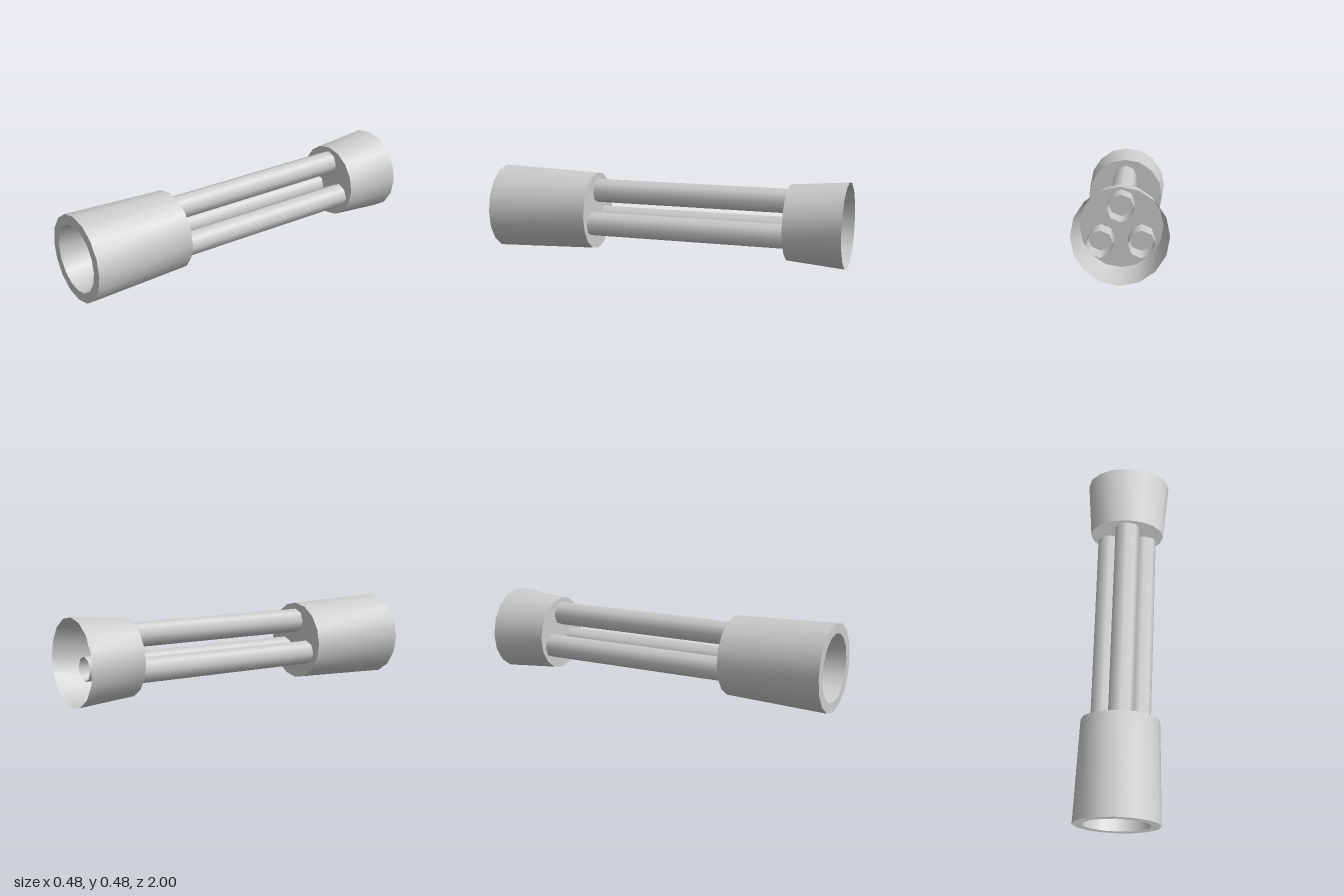
import * as THREE from 'three';
import { toCreasedNormals } from 'three/addons/utils/BufferGeometryUtils.js';

const AXIS_Y = 0.24;

// Turned part around the z axis; profile points are [radius, z]
function turned(name, profile, material) {
  const points = profile.map(([r, z]) => new THREE.Vector2(r, z));
  const geometry = new THREE.LatheGeometry(points, 16).rotateX(Math.PI / 2);
  const mesh = new THREE.Mesh(toCreasedNormals(geometry, 0.6), material);
  mesh.name = name;
  mesh.position.y = AXIS_Y;
  return mesh;
}

export function createModel() {
  const model = new THREE.Group();
  model.name = 'prongedTube';
  const solid = new THREE.MeshStandardMaterial({ color: 0xcccccc });
  const thin = new THREE.MeshStandardMaterial({ color: 0xcccccc, side: THREE.DoubleSide });

  // Front collar with a tapered blind bore
  model.add(turned('frontCollar', [
    [0, 0.43], [0.218, 0.43], [0.238, 1], [0.184, 1], [0.132, 0.68], [0, 0.68],
  ], solid));

  // Thin rear cup, open at the back, closed towards the rods
  model.add(turned('rearCup', [[0.234, -1], [0.208, -0.685], [0, -0.685]], thin));

  // Three hollow rods, reaching a little way into the rear cup
  const rodFront = 0.43, rodBack = -0.88;
  const rodGeometry = new THREE.CylinderGeometry(0.067, 0.067, rodFront - rodBack, 8, 1, true)
    .rotateX(Math.PI / 2);
  for (let i = 0; i < 3; i++) {
    const angle = Math.PI / 2 + (i * 2 * Math.PI) / 3;
    const rod = new THREE.Mesh(rodGeometry, thin);
    rod.name = `rod${i + 1}`;
    rod.position.set(0.116 * Math.cos(angle), AXIS_Y + 0.116 * Math.sin(angle), (rodFront + rodBack) / 2);
    model.add(rod);
  }
  return model;
}
